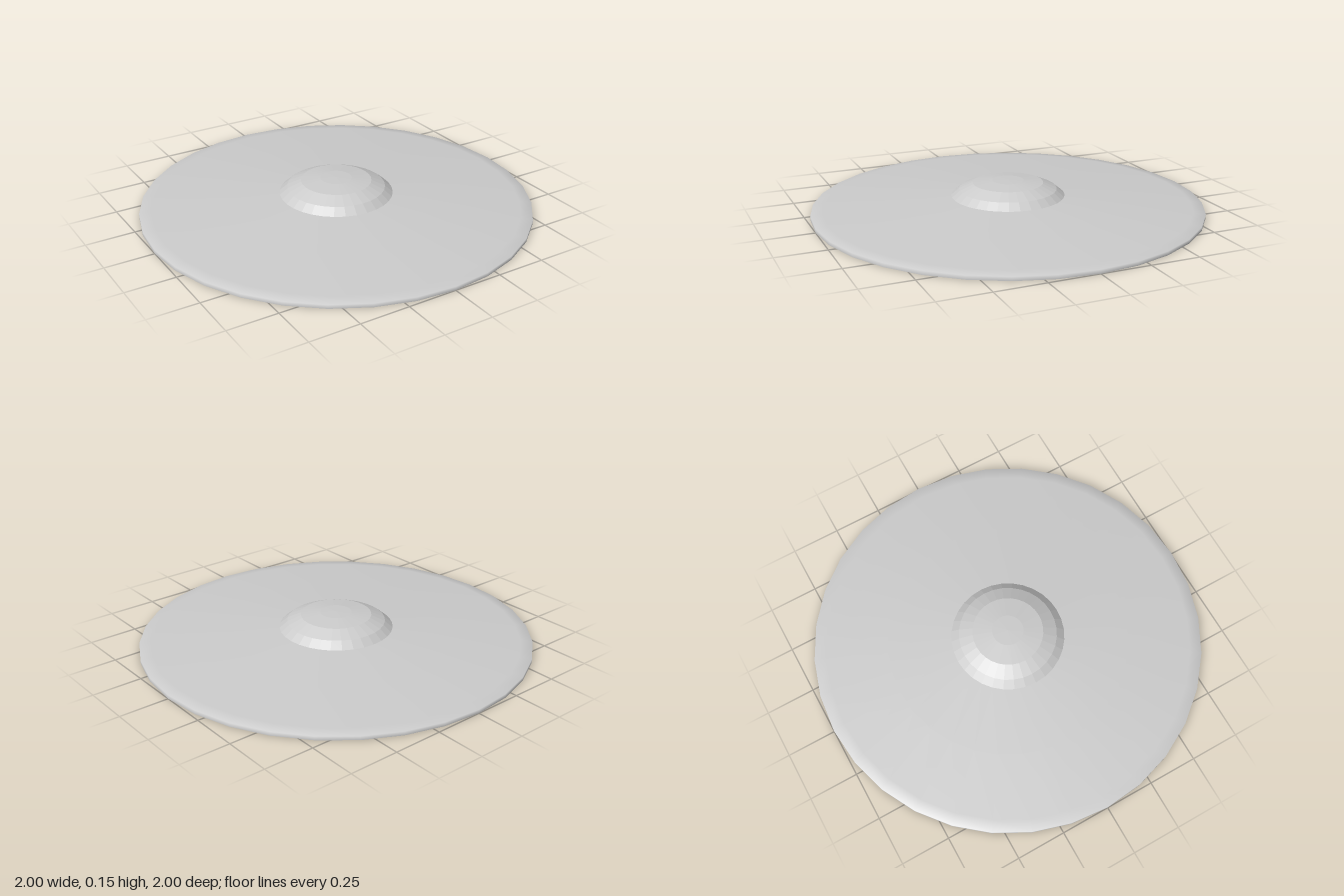
import * as THREE from 'three';

const SEGMENTS = 32;

export function createModel() {
  const group = new THREE.Group();
  group.name = 'cymbal';
  const smooth = new THREE.MeshStandardMaterial({ color: 0xcccccc });
  const faceted = new THREE.MeshStandardMaterial({ color: 0xcccccc, flatShading: true });

  // Turn a profile of [radius, height] pairs around the y axis
  const turn = (name, profile, material) => {
    const points = profile.map(([r, y]) => new THREE.Vector2(r, y));
    const mesh = new THREE.Mesh(new THREE.LatheGeometry(points, SEGMENTS), material);
    mesh.name = name;
    group.add(mesh);
  };

  // Shallow conical bow: rim wall rolling into the top face, and the hollow underside
  turn('bowTop', [[1, 0], [1, 0.02], [0.94, 0.026], [0.62, 0.049], [0.29, 0.07]], smooth);
  turn('bowUnderside', [[0.28, 0.05], [0.62, 0.028], [0.94, 0.005], [1, 0]], smooth);

  // Raised bell in the middle, with a matching hollow below
  turn('bellTop', [[0.29, 0.07], [0.25, 0.104], [0.18, 0.135], [0.08, 0.146], [0, 0.148]], faceted);
  turn('bellUnderside', [[0, 0.128], [0.08, 0.126], [0.18, 0.115], [0.24, 0.084], [0.28, 0.05]], faceted);

  return group;
}
